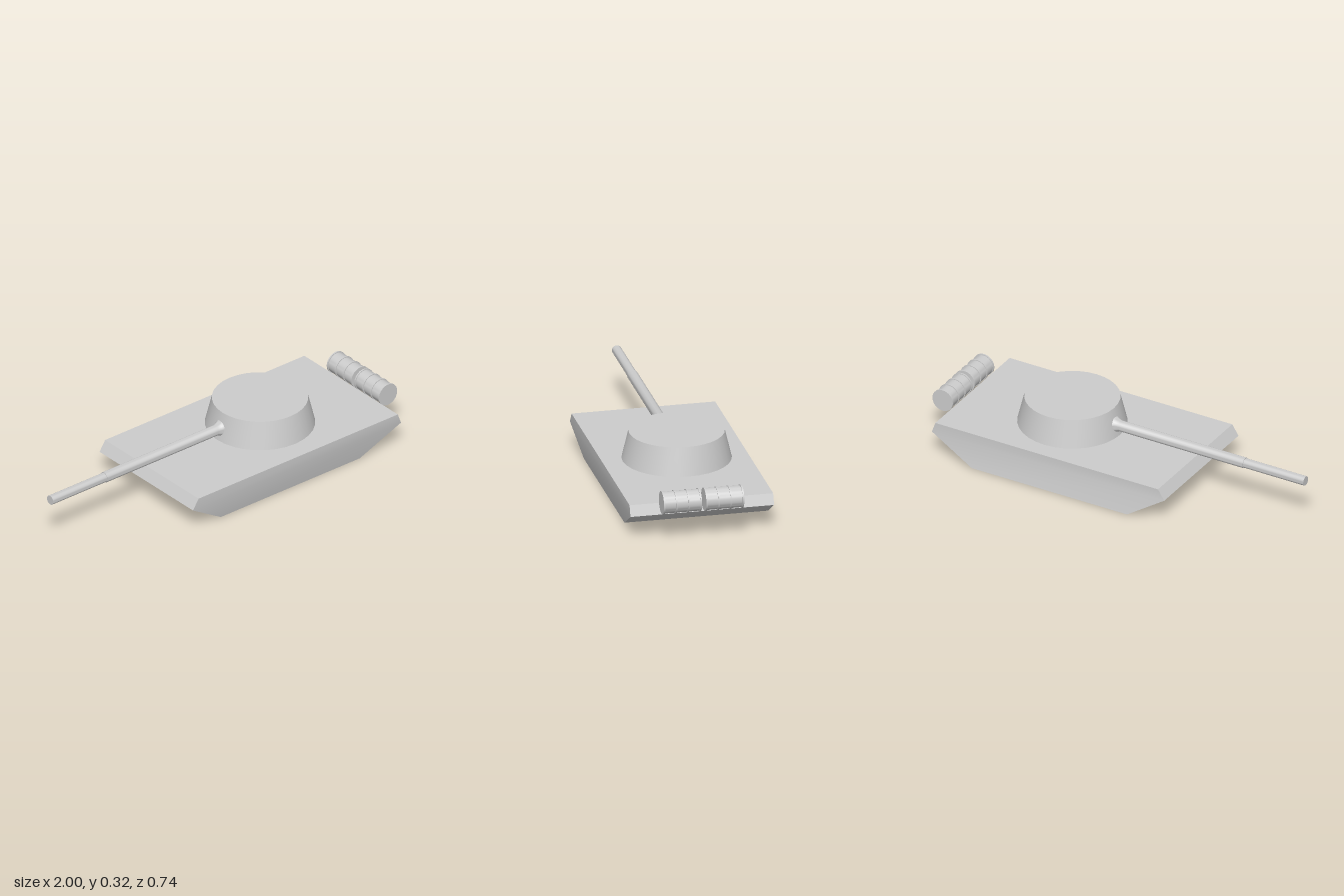
import * as THREE from 'three';
import { toCreasedNormals } from 'three/addons/utils/BufferGeometryUtils.js';

const material = new THREE.MeshStandardMaterial({ color: 0xcccccc });

function addPart(parent, name, geometry, x = 0, y = 0, z = 0) {
  const mesh = new THREE.Mesh(toCreasedNormals(geometry, 0.6), material);
  mesh.name = name;
  mesh.position.set(x, y, z);
  parent.add(mesh);
  return mesh;
}

// Hull: rectangular cross-sections stacked upward, each [y, xMin, xMax, zMin, zMax]
function hullGeometry() {
  const sections = [
    [0, -0.21, 0.665, -0.371, 0.346],
    [0.123, -0.405, 0.904, -0.346, 0.371],
    [0.177, -0.37, 0.884, -0.346, 0.371],
  ];
  const positions = [];
  for (const [y, x0, x1, z0, z1] of sections)
    positions.push(x0, y, z1, x1, y, z1, x1, y, z0, x0, y, z0);
  const index = [0, 2, 1, 0, 3, 2, 8, 9, 10, 8, 10, 11]; // floor and deck
  for (let row = 0; row < 2; row++)
    for (let i = 0; i < 4; i++) {
      const a = row * 4 + i, b = row * 4 + (i + 1) % 4;
      index.push(a, b, b + 4, a, b + 4, a + 4);
    }
  const geometry = new THREE.BufferGeometry();
  geometry.setAttribute('position', new THREE.Float32BufferAttribute(positions, 3));
  geometry.setIndex(index);
  return geometry;
}

// Drum lying along z: a body with four raised hoops, the outer two on its rims
function createDrum(name, z) {
  const drum = new THREE.Group();
  drum.name = name;
  const length = 0.19, hoop = 0.008;
  const body = new THREE.CylinderGeometry(0.0535, 0.0535, length - 0.002, 32);
  addPart(drum, 'drumBody', body.rotateX(Math.PI / 2));
  for (let i = 0; i < 4; i++) {
    const ring = new THREE.CylinderGeometry(0.0575, 0.0575, hoop, 32);
    const offset = (i / 3 - 0.5) * (length - hoop);
    addPart(drum, 'drumHoop', ring.rotateX(Math.PI / 2), 0, 0, offset);
  }
  drum.position.set(0.9425, 0.1995, z);
  return drum;
}

export function createModel() {
  const model = new THREE.Group();
  model.name = 'tank';

  addPart(model, 'hull', hullGeometry());

  // Tapered turret
  addPart(model, 'turret', new THREE.CylinderGeometry(0.235, 0.269, 0.141, 32), 0.317, 0.2515, 0.005);

  // Stepped barrel flaring into the turret: [radius, distance from muzzle]
  const profile = [[0, 0], [0.024, 0], [0.024, 0.34], [0.027, 0.34], [0.027, 1.04],
    [0.034, 1.06], [0.046, 1.08], [0.046, 1.11], [0, 1.11]];
  const barrel = new THREE.LatheGeometry(profile.map(([r, d]) => new THREE.Vector2(r, d)), 24);
  addPart(model, 'barrel', barrel.rotateZ(-Math.PI / 2), -1, 0.236, 0);

  // Rear fuel drums
  model.add(createDrum('leftDrum', 0.13), createDrum('rightDrum', -0.081));
  return model;
}
